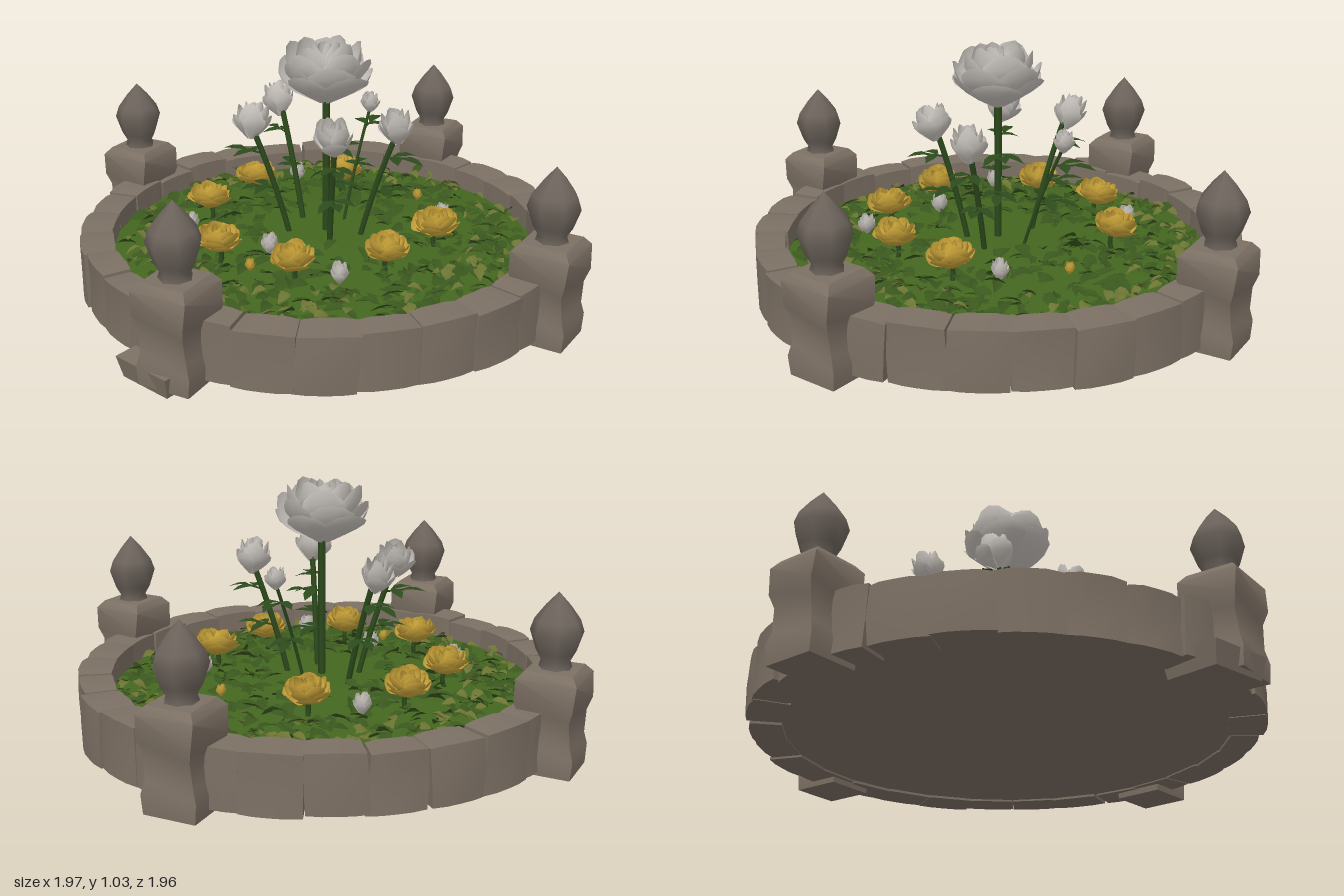
import * as THREE from 'three';
import { mergeGeometries, toCreasedNormals } from 'three/addons/utils/BufferGeometryUtils.js';

const mat = (name, color, side = THREE.FrontSide) => {
  const m = new THREE.MeshStandardMaterial({ color, side });
  m.name = name;
  return m;
};

// Small seeded generator
let seed = 7;
const rnd = (a = 0, b = 1) => {
  seed = (seed * 16807) % 2147483647;
  return a + (b - a) * (seed / 2147483647);
};

// Move every vertex of a geometry by a rule
function warp(geo, rule) {
  const p = geo.attributes.position, v = new THREE.Vector3();
  for (let i = 0; i < p.count; i++) {
    v.fromBufferAttribute(p, i);
    rule(v);
    p.setXYZ(i, v.x, v.y, v.z);
  }
  geo.computeVertexNormals();
  return geo;
}

const groundY = (r) => 0.195 + 0.045 * (1 - (r / 0.87) ** 2);

// Curved stone block of the ring wall
function stone(a0, da) {
  const out = rnd(0.975, 0.997), inn = rnd(0.84, 0.86), top = rnd(0.275, 0.29), low = rnd(0.052, 0.062);
  const skew = rnd(-0.02, 0.02), bulge = rnd(-0.012, 0.008);
  return warp(new THREE.BoxGeometry(1, 1, 1, 4, 2, 2), (v) => {
    const a = a0 + v.x * da + skew * v.y;
    const edge = Math.abs(v.x) > 0.4 ? -0.006 : 0;
    let r = THREE.MathUtils.lerp(inn, out, v.z + 0.5) + edge * Math.sign(v.z);
    if (v.z > 0.4 && Math.abs(v.y) < 0.1) r += bulge * (1 - Math.abs(v.x));
    const y = THREE.MathUtils.lerp(low, top, v.y + 0.5) + (v.y > 0.4 ? edge : 0);
    v.set(Math.sin(a) * r, y, Math.cos(a) * r);
  });
}

// Cupped petal: R reach, H height, base lift, a angle, w half width, open = how far the cup curls
function petal(R, H, base, a, w, open) {
  return warp(new THREE.PlaneGeometry(2, 1, 4, 4), (p) => {
    const u = p.x, t = p.y + 0.5;
    const ang = a + u * w * (0.55 + 0.45 * Math.sin(t * Math.PI * 0.75));
    const r = R * (0.16 + 0.84 * Math.sin(t * Math.PI * open)) + 0.05 * u * t;
    const y = base + (H - base) * t * (1 - 0.22 * u * u * t);
    p.set(Math.sin(ang) * r, y, Math.cos(ang) * r);
  });
}

// Rose of radius 1 and height about 1.3
function roseGeometry(layers) {
  const parts = [];
  layers.forEach(([n, R, H, base, w, open], k) => {
    for (let i = 0; i < n; i++) {
      const a = (i / n) * Math.PI * 2 + k * 0.65;
      parts.push(petal(R * rnd(0.93, 1.03), H * rnd(0.93, 1.03), base, a, w, open));
    }
  });
  return mergeGeometries(parts);
}

// Folded pointed leaf along +z
function leaf(len, wid, fold = 0.35, droop = 0.2) {
  return warp(new THREE.PlaneGeometry(1, 1, 2, 3), (p) => {
    const t = p.y + 0.5, x = p.x * 2 * wid * 0.5 * Math.sin(Math.PI * (0.06 + 0.94 * t));
    p.set(x, Math.abs(x) * fold - droop * len * t * t, len * t);
  });
}

function placed(geo, x, y, z, yaw, pitch = 0, roll = 0) {
  const e = new THREE.Euler(pitch, yaw, roll, 'YXZ');
  const m = new THREE.Matrix4().makeRotationFromEuler(e).setPosition(x, y, z);
  return geo.applyMatrix4(m);
}

export function createModel() {
  seed = 7;
  const root = new THREE.Group();
  const D = THREE.DoubleSide;
  const M = {
    stone: mat('stone', 0x7c7064), finial: mat('dark stone', 0x6c635b),
    grass: mat('grass', 0x44661f, D), leaf: mat('leaf green', 0x3a571e, D),
    olive: mat('olive leaf', 0x6b7433, D), stem: mat('stem green', 0x2c4a1c, D),
    white: mat('white petal', 0xc9c4be, D), yellow: mat('yellow petal', 0xcda63a, D),
  };
  const add = (name, geo, m, parent = root) => {
    const mesh = new THREE.Mesh(geo, m);
    mesh.name = name;
    parent.add(mesh);
    return mesh;
  };
  const profile = (pts) => pts.map(([x, y]) => new THREE.Vector2(x, y));

  // Ring wall, floor and grass
  const N = 28, stones = [];
  for (let i = 0; i < N; i++) stones.push(stone((i / N) * Math.PI * 2, (Math.PI * 2 / N) * 1.01));
  add('ringWall', mergeGeometries(stones), M.stone);
  const floor = new THREE.CylinderGeometry(0.87, 0.87, 0.02, 48);
  add('floor', floor, M.stone).position.y = 0.075;
  const dome = [0.87, 0.65, 0.4, 0.2, 0].map((r) => [r, groundY(r)]);
  add('grass', new THREE.LatheGeometry(profile(dome), 40), M.grass);

  // Corner posts with pointed finials
  const postPts = profile([[0, 0.035], [0.145, 0.035], [0.152, 0.11], [0.135, 0.16], [0.135, 0.25],
    [0.158, 0.3], [0.16, 0.395], [0.125, 0.425], [0, 0.43]]);
  const finialPts = profile([[0.065, 0.42], [0.055, 0.45], [0.075, 0.485], [0.1, 0.56], [0.085, 0.605],
    [0.045, 0.66], [0, 0.71]]);
  for (const sx of [-1, 1]) for (const sz of [-1, 1]) {
    const post = new THREE.Group();
    post.name = 'post';
    const body = warp(new THREE.LatheGeometry(postPts, 4), (v) => {
      const tw = 0.05 * Math.sin(v.y * 17), x = v.x;
      v.x += v.z * tw;
      v.z -= x * tw;
    });
    add('postBody', toCreasedNormals(body, 0.6), M.stone, post);
    add('finial', new THREE.LatheGeometry(finialPts, 7), M.finial, post);
    post.position.set(sx * 0.685, 0, sz * 0.7);
    post.rotation.y = rnd(-0.06, 0.06);
    root.add(post);
  }
  // Sunken foot stone under one post
  const foot = warp(new THREE.BoxGeometry(0.24, 0.09, 0.26), (v) => { if (v.y < 0) v.multiplyScalar(0.88); });
  const footMesh = add('footStone', foot, M.stone);
  footMesh.position.set(-0.725, 0.06, 0.64);
  footMesh.rotation.set(0, 0.62, 0.05);

  // Ground cover
  const cover = [], olive = [];
  for (let i = 0; i < 560; i++) {
    const r = 0.82 * Math.sqrt(rnd(0.1, 1)), a = rnd(0, 6.283);
    cover.push(placed(leaf(rnd(0.05, 0.1), rnd(0.03, 0.06), 0.4, 0.4), Math.sin(a) * r * 0.97,
      groundY(r) + rnd(0, 0.03), Math.cos(a) * r * 0.97, rnd(0, 6.283), rnd(-0.6, 0.1), rnd(-0.6, 0.6)));
  }
  for (let i = 0; i < 130; i++) {
    const r = rnd(0.6, 0.8), a = rnd(0, 6.283);
    olive.push(placed(leaf(rnd(0.04, 0.065), rnd(0.035, 0.05), 0.5, 0.5), Math.sin(a) * r,
      groundY(r) + rnd(0.025, 0.05), Math.cos(a) * r, rnd(0, 6.283), rnd(-0.4, 0.2), rnd(-0.5, 0.5)));
  }
  add('groundLeaves', mergeGeometries(cover), M.leaf);
  add('oliveLeaves', mergeGeometries(olive), M.olive);

  // Rose shapes: [count, reach, height, base, half width, curl]
  const full = roseGeometry([[6, 1, 0.72, 0.0, 0.62, 0.5], [6, 0.95, 0.95, 0.03, 0.62, 0.52],
    [5, 0.8, 1.2, 0.08, 0.7, 0.58], [4, 0.58, 1.3, 0.1, 0.85, 0.62], [3, 0.34, 1.3, 0.2, 1.1, 0.68],
    [2, 0.16, 1.25, 0.3, 1.6, 0.75]]);
  const bud = roseGeometry([[5, 1, 0.85, 0, 0.7, 0.52], [4, 0.82, 1.22, 0, 0.85, 0.62],
    [3, 0.5, 1.3, 0.1, 1.1, 0.68], [2, 0.22, 1.25, 0.3, 1.6, 0.75]]);
  const bloom = (name, geo, m, x, y, z, r, h, yaw, tilt = 0) => {
    const b = add(name, geo, m);
    b.position.set(x, y, z);
    b.scale.set(r, h / 1.3, r);
    b.rotation.set(z > 0 ? tilt : -tilt, yaw, x > 0 ? -tilt : tilt);
  };

  // Stem from the soil to a head, with paired leaves
  const stems = [], leaves = [];
  function stem(x, y, z, foot, r, levels) {
    const A = new THREE.Vector3(x * foot, 0.21, z * foot), B = new THREE.Vector3(x, y, z);
    const mid = A.clone().lerp(B, 0.5).add(new THREE.Vector3(-x * 0.06, 0, -z * 0.06));
    const curve = new THREE.QuadraticBezierCurve3(A, mid, B);
    stems.push(new THREE.TubeGeometry(curve, 6, r, 5));
    for (const t of levels) {
      const p = curve.getPoint(t), out = Math.atan2(x, z) + rnd(-0.4, 0.4);
      for (const d of [-0.9, 0, 0.9]) {
        const q = d ? 0.03 : 0.065;
        leaves.push(placed(leaf(rnd(0.07, 0.11), 0.05, 0.2, 0.25), p.x + Math.sin(out) * q, p.y + 0.01,
          p.z + Math.cos(out) * q, out + d, rnd(-0.25, 0.05)));
      }
      const tip = new THREE.Vector3(p.x + Math.sin(out) * 0.08, p.y + 0.012, p.z + Math.cos(out) * 0.08);
      stems.push(new THREE.TubeGeometry(new THREE.LineCurve3(p, tip), 1, 0.004, 4));
    }
  }

  // Tall centre rose and the four around it
  bloom('centreRose', full, M.white, 0, 0.79, 0, 0.185, 0.25, 0.3);
  stem(0.005, 0.82, 0, 1, 0.016, [0.36, 0.62]);
  for (const [x, y, z, r] of [[-0.12, 0.645, -0.3, 0.068], [-0.29, 0.64, -0.05, 0.08],
    [-0.02, 0.65, 0.25, 0.078], [0.26, 0.64, 0.15, 0.072]]) {
    bloom('whiteRose', bud, M.white, x, y, z, r, 0.15, x * 9, 0.16);
    stem(x * 0.96, y + 0.03, z * 0.96, 0.5, 0.012, [0.48, 0.8]);
  }
  // Thin side stem at the back
  stem(0.24, 0.67, -0.21, 0.4, 0.007, [0.5, 0.85]);
  bloom('smallBud', bud, M.white, 0.245, 0.66, -0.215, 0.042, 0.09, 1);

  // Low yellow roses on short stalks
  for (const [x, z, r] of [[-0.2, -0.46, 0.09], [0.18, -0.44, 0.09], [-0.44, -0.25, 0.09], [-0.47, 0.19, 0.09],
    [-0.22, 0.43, 0.088], [0.14, 0.43, 0.088], [0.4, 0.24, 0.095]]) {
    bloom('yellowRose', full, M.yellow, x, 0.28, z, r, 0.105, x * 7 + z, 0.08);
    stem(x, 0.3, z, 1, 0.01, []);
  }
  // Small buds near the ground
  for (const [x, z] of [[-0.27, 0.21], [0, -0.54], [-0.54, -0.07], [0.48, 0.07], [-0.07, 0.53]])
    bloom('lowWhiteBud', bud, M.white, x, 0.255, z, 0.036, 0.085, x * 5);
  for (const [x, z] of [[0.46, -0.2], [-0.37, 0.34]])
    bloom('lowYellowBud', bud, M.yellow, x, 0.25, z, 0.02, 0.05, 0);

  add('stems', mergeGeometries(stems), M.stem);
  add('roseLeaves', mergeGeometries(leaves), M.stem);
  return root;
}
